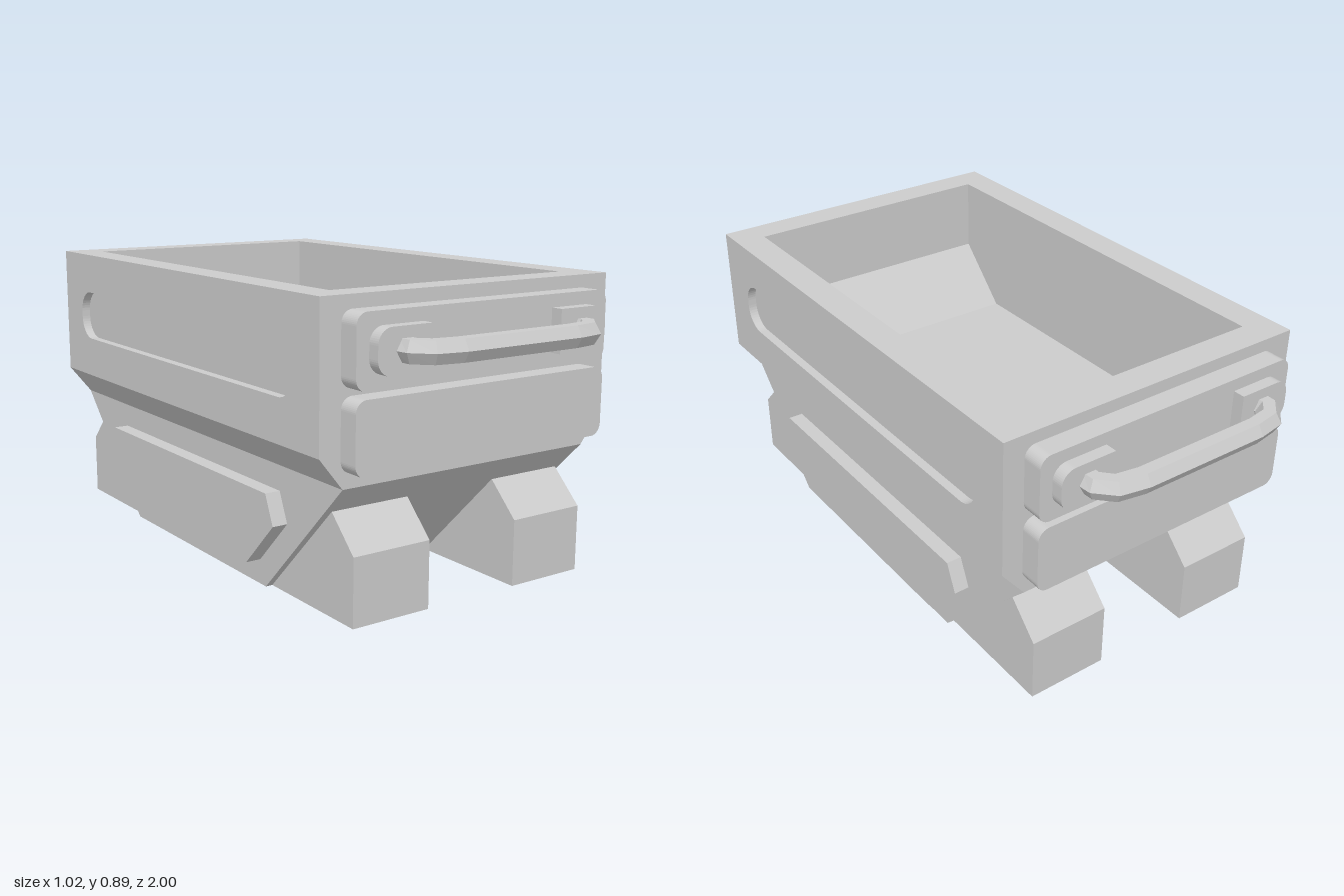
import * as THREE from 'three';

const material = new THREE.MeshStandardMaterial({ color: 0xcccccc, flatShading: true });

function add(parent, name, geometry) {
  const mesh = new THREE.Mesh(geometry, material);
  mesh.name = name;
  parent.add(mesh);
  return mesh;
}

const polygon = (pts) => new THREE.Shape(pts.map(([a, b]) => new THREE.Vector2(a, b)));

// Rectangle with separate corner radii on its low-x and high-x ends
function roundedRect(x0, x1, y0, y1, rLow, rHigh, target = new THREE.Shape()) {
  target.moveTo(x0 + rLow, y0).lineTo(x1 - rHigh, y0);
  if (rHigh) target.absarc(x1 - rHigh, y0 + rHigh, rHigh, -Math.PI / 2, 0);
  else target.lineTo(x1, y0);
  if (rHigh) target.absarc(x1 - rHigh, y1 - rHigh, rHigh, 0, Math.PI / 2);
  else target.lineTo(x1, y1);
  target.lineTo(x0 + rLow, y1);
  if (rLow) target.absarc(x0 + rLow, y1 - rLow, rLow, Math.PI / 2, Math.PI);
  else target.lineTo(x0, y1);
  if (rLow) target.absarc(x0 + rLow, y0 + rLow, rLow, Math.PI, Math.PI * 1.5);
  else target.lineTo(x0, y0);
  return target;
}

// Extrude an (x, y) outline from z0 to z1
function extrudeZ(shape, z0, z1) {
  const g = new THREE.ExtrudeGeometry(shape, { depth: z1 - z0, bevelEnabled: false, curveSegments: 6 });
  return g.translate(0, 0, z0);
}

// Extrude a (z, y) outline from x0 to x1
function extrudeX(shape, x0, x1) {
  return extrudeZ(shape, -x1, -x0).rotateY(-Math.PI / 2);
}

// Hexagonal bar following a path in the xz plane, one point of the hexagon facing outward
function hexBar(path, y, radius) {
  const positions = [], index = [];
  path.forEach(([x, z], i) => {
    const a = path[Math.max(i - 1, 0)], b = path[Math.min(i + 1, path.length - 1)];
    const t = new THREE.Vector2(b[0] - a[0], b[1] - a[1]).normalize();
    for (let k = 0; k < 6; k++) {
      const c = Math.cos(k * Math.PI / 3) * radius, s = Math.sin(k * Math.PI / 3) * radius;
      positions.push(x - t.y * c, y + s, z + t.x * c);
      if (i < path.length - 1) {
        const p = i * 6 + k, q = i * 6 + (k + 1) % 6;
        index.push(p, p + 6, q, q, p + 6, q + 6);
      }
    }
  });
  const g = new THREE.BufferGeometry();
  g.setAttribute('position', new THREE.Float32BufferAttribute(positions, 3));
  g.setIndex(index);
  const flat = g.toNonIndexed();
  flat.computeVertexNormals();
  return flat;
}

// Side wall with a recessed slot, and the raised lower panel
function buildSide() {
  const side = new THREE.Group();
  const wall = new THREE.BoxGeometry(0.068, 0.418, 1.58).translate(0.45, 0.684, 0);
  add(side, 'sideWall', wall);
  const skin = polygon([[-0.79, 0.475], [0.79, 0.475], [0.79, 0.893], [-0.79, 0.893]]);
  skin.holes.push(roundedRect(-0.665, 0.665, 0.605, 0.765, 0.07, 0.07, new THREE.Path()));
  add(side, 'slottedSideSkin', extrudeX(skin, 0.484, 0.512));
  const panel = polygon([[-0.38, 0.075], [0.38, 0.075], [0.525, 0.22], [0.487, 0.308],
    [-0.487, 0.308], [-0.525, 0.22]]);
  add(side, 'lowerSidePanel', extrudeX(panel, 0.43, 0.486));
  return side;
}

// End wall with sloped inner ramp, plates, handle and feet
function buildEnd() {
  const end = new THREE.Group();
  const wall = polygon([[0.515, 0.475], [0.79, 0.475], [0.79, 0.893], [0.695, 0.893], [0.695, 0.655]]);
  add(end, 'endWall', extrudeX(wall, -0.416, 0.416));
  add(end, 'lowerEndPlate', extrudeZ(roundedRect(-0.445, 0.445, 0.425, 0.63, 0.035, 0.035), 0.78, 0.855));
  add(end, 'upperEndPlate', extrudeZ(roundedRect(-0.445, 0.445, 0.65, 0.855, 0.035, 0.035), 0.78, 0.855));

  const foot = polygon([[0.41, 0], [0.81, 0], [0.81, 0.2], [0.71, 0.3]]);
  add(end, 'leftFoot', extrudeX(foot, 0.158, 0.416));
  add(end, 'rightFoot', extrudeX(foot, -0.416, -0.158));

  add(end, 'leftHandleBracket', extrudeZ(roundedRect(0.23, 0.405, 0.69, 0.817, 0, 0.045), 0.85, 0.892));
  add(end, 'rightHandleBracket', extrudeZ(roundedRect(-0.405, -0.23, 0.69, 0.817, 0.045, 0), 0.85, 0.892));

  const half = [[0.312, 0.88], [0.312, 0.912], [0.275, 0.951], [0.2, 0.964]];
  const path = [...half.map(([x, z]) => [-x, z]), ...half.slice().reverse()];
  add(end, 'handle', hexBar(path, 0.754, 0.036));
  return end;
}

export function createModel() {
  const model = new THREE.Group();
  model.name = 'openCart';

  // Lower hull tapering lengthwise toward the ground
  const hull = polygon([[-0.41, 0], [0.41, 0], [0.79, 0.383], [-0.79, 0.383]]);
  add(model, 'lowerHull', extrudeX(hull, -0.438, 0.438));

  // Flared band whose top is the floor of the tub
  const band = polygon([[-0.438, 0.383], [0.438, 0.383], [0.512, 0.475], [-0.512, 0.475]]);
  add(model, 'flaredBand', extrudeZ(band, -0.79, 0.79));

  // Both sides and both ends, turned half a circle
  ['left', 'right'].forEach((name, i) => {
    const side = buildSide();
    side.name = name + 'Side';
    side.rotation.y = i * Math.PI;
    model.add(side);
  });
  ['front', 'back'].forEach((name, i) => {
    const end = buildEnd();
    end.name = name + 'End';
    end.rotation.y = i * Math.PI;
    model.add(end);
  });
  return model;
}
